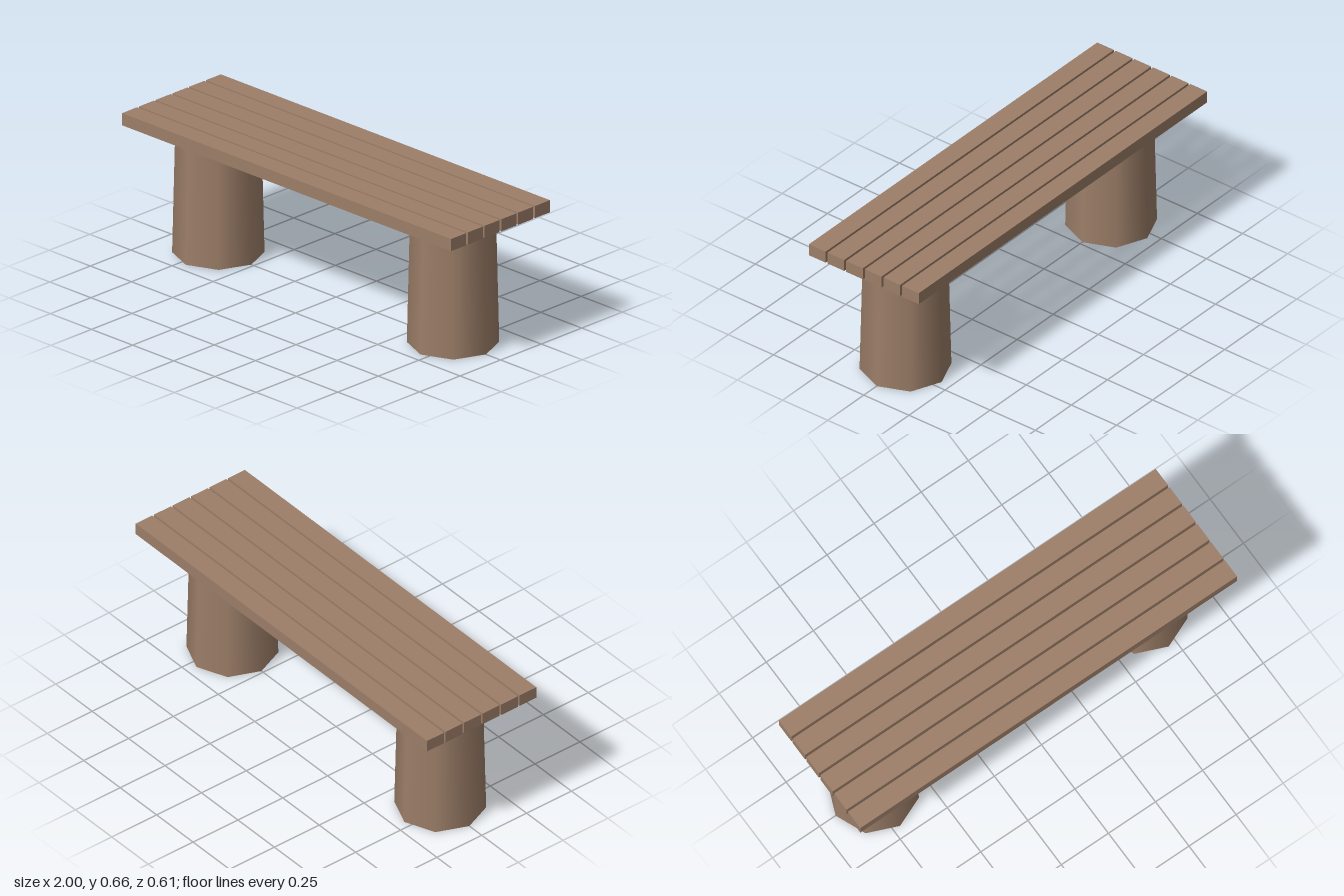
import * as THREE from 'three';

export function createModel() {
  const bench = new THREE.Group();
  bench.name = 'bench';
  const wood = new THREE.MeshStandardMaterial({ color: 0x9c7e68 });
  wood.name = 'brown wood';

  const legHeight = 0.602, plankHeight = 0.057;
  const plankCount = 6, plankWidth = 0.0925, plankSpacing = 0.1032;

  // Seat: parallel planks with narrow gaps
  const seat = new THREE.Group();
  seat.name = 'seat';
  const plankGeometry = new THREE.BoxGeometry(2, plankHeight, plankWidth);
  for (let i = 0; i < plankCount; i++) {
    const plank = new THREE.Mesh(plankGeometry, wood);
    plank.name = `seatPlank${i + 1}`;
    plank.position.set(0, legHeight + plankHeight / 2, (i - (plankCount - 1) / 2) * plankSpacing);
    seat.add(plank);
  }
  bench.add(seat);

  // Legs: tapered eight-sided stumps, smooth around
  const legGeometry = new THREE.CylinderGeometry(0.186, 0.2, legHeight, 8);
  for (const [name, x] of [['leftLeg', 0.711], ['rightLeg', -0.715]]) {
    const leg = new THREE.Mesh(legGeometry, wood);
    leg.name = name;
    leg.position.set(x, legHeight / 2, 0);
    bench.add(leg);
  }
  return bench;
}
